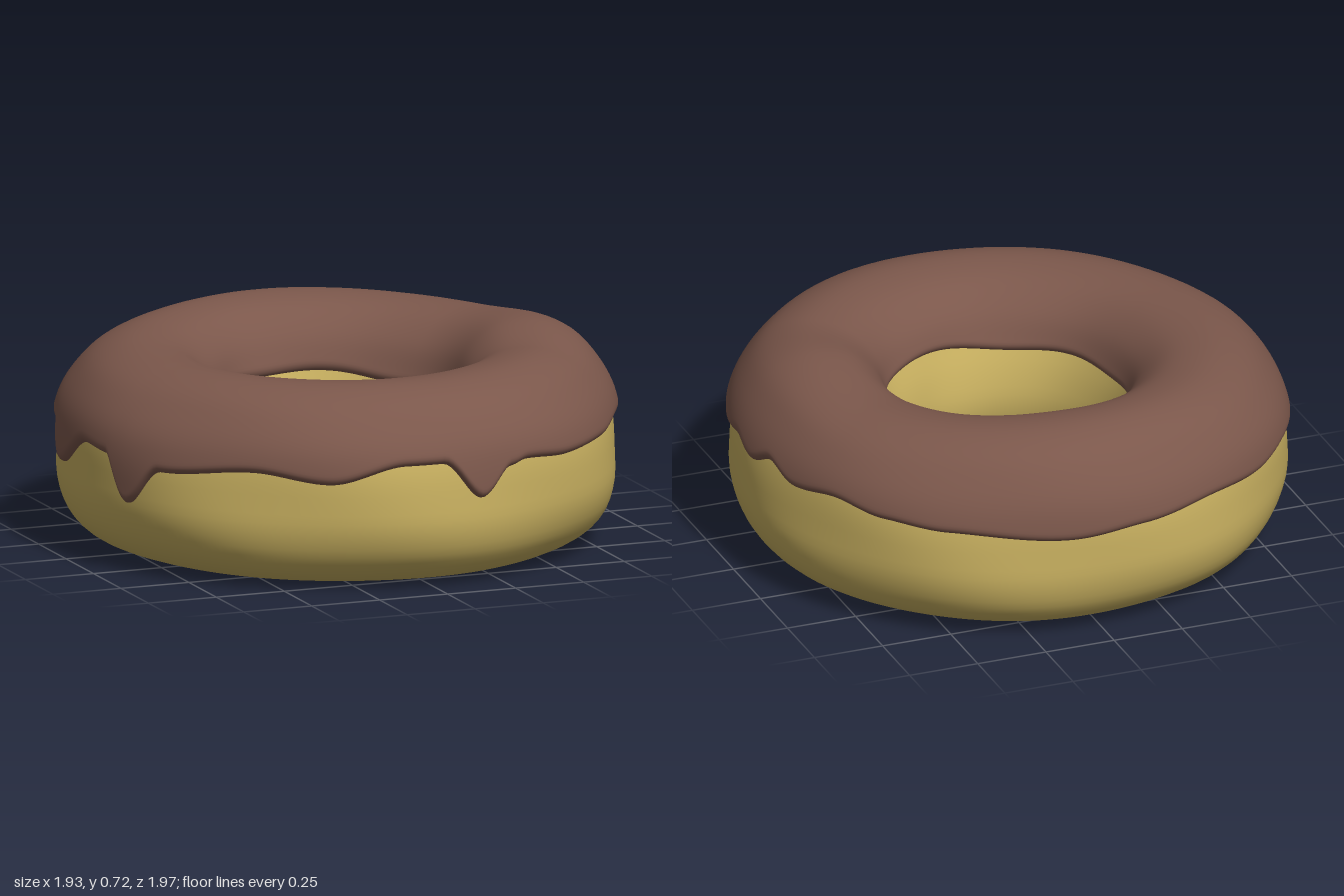
import * as THREE from 'three';

// Cross-section of the dough as (radius, height): bottom, outer side, top, inner side
const profile = new THREE.CatmullRomCurve3([
  [0.66, 0.008], [0.78, 0.02], [0.87, 0.06], [0.93, 0.125], [0.962, 0.22], [0.963, 0.32],
  [0.955, 0.42], [0.935, 0.5], [0.895, 0.57], [0.83, 0.64], [0.74, 0.68], [0.66, 0.685],
  [0.56, 0.66], [0.48, 0.59], [0.435, 0.49], [0.395, 0.38], [0.378, 0.28], [0.398, 0.17],
  [0.45, 0.08], [0.54, 0.025],
].map(([r, y]) => new THREE.Vector3(r, y, 0)), true);
const LENGTH = profile.getLength();

// [degrees from the front towards +x, height] of the icing's outer rim; the lows are drips
const RIM = [
  [0, 0.455], [8.5, 0.325], [16, 0.42], [20, 0.435], [32, 0.42], [48, 0.425], [62, 0.445],
  [75, 0.435], [84, 0.455], [92, 0.43], [99, 0.47], [108, 0.435], [120, 0.46], [132, 0.435],
  [146, 0.42], [172, 0.39], [188, 0.41], [205, 0.425], [222, 0.41], [236, 0.425], [252, 0.42],
  [260, 0.31], [273, 0.42], [282, 0.41], [289, 0.26], [298, 0.39], [320, 0.425], [336, 0.395],
  [352, 0.455],
];
// Height of the icing's crest round the ring
const CREST = [
  [0, 0.69], [55, 0.697], [83, 0.73], [118, 0.695], [180, 0.715], [235, 0.695], [300, 0.69],
];

// Smooth periodic lookup in a table of [degrees, value]
function lookup(table, theta) {
  const deg = THREE.MathUtils.radToDeg(theta) % 360;
  let i = table.length - 1;
  while (table[i][0] > deg) i--;
  const [d0, v0] = table[i];
  const [d1, v1] = i + 1 < table.length ? table[i + 1] : [360, table[0][1]];
  return THREE.MathUtils.lerp(v0, v1, THREE.MathUtils.smoothstep(deg, d0, d1));
}

// Position along the profile where one side reaches a height
function findHeight(y, low, high) {
  for (let i = 0; i < 20; i++) {
    const mid = (low + high) / 2;
    if (profile.getPointAt(mid).y < y) low = mid; else high = mid;
  }
  return low;
}

// Point on the ring, lifted off the dough by an offset
function ringPoint(u, theta, offset) {
  const p = profile.getPointAt(u), t = profile.getTangentAt(u);
  const lump = 0.004 * Math.sin(3 * theta + 1) + 0.004 * Math.sin(7 * theta + 9 * p.y);
  const side = (p.r = p.x) > 0.675 ? 1 : -1;
  const r = p.x + t.y * offset + side * lump * Math.min(1, Math.abs(p.x - 0.675) / 0.2);
  let y = p.y - t.x * offset;
  y += (lookup(CREST, theta) - 0.71) * THREE.MathUtils.smoothstep(y, 0.4, 0.7);
  const shift = 0.025 * (0.97 - r);
  return [r * Math.sin(theta) * 0.985, y, r * Math.cos(theta) * 1.008 - shift];
}

// Sweep cross-sections round the ring; section(theta) returns a function of j
function sweep(around, across, closed, section) {
  const positions = [], indices = [];
  const row = closed ? across : across + 1;
  for (let i = 0; i < around; i++) {
    const theta = (i / around) * Math.PI * 2, at = section(theta);
    for (let j = 0; j < row; j++) positions.push(...at(j / across));
    for (let j = 0; j < across; j++) {
      const a = i * row + j, b = ((i + 1) % around) * row + j;
      const step = closed && j === across - 1 ? 1 - across : 1;
      indices.push(a, b, a + step, b, b + step, a + step);
    }
  }
  const geometry = new THREE.BufferGeometry();
  geometry.setAttribute('position', new THREE.Float32BufferAttribute(positions, 3));
  geometry.setIndex(indices);
  geometry.computeVertexNormals();
  return geometry;
}

function addMesh(group, name, geometry, color) {
  const mesh = new THREE.Mesh(geometry, new THREE.MeshStandardMaterial({ color }));
  mesh.name = name;
  group.add(mesh);
}

export function createModel() {
  const group = new THREE.Group();
  group.name = 'doughnut';

  // Dough ring
  addMesh(group, 'dough', sweep(180, 64, true, (theta) => (v) => ringPoint(v, theta, 0)), 0xc8b060);

  // Icing: a layer over the top with rounded, dripping rims
  const thickness = 0.026;
  const icing = sweep(400, 48, false, (theta) => {
    const outer = findHeight(lookup(RIM, theta), 0.02, 0.48);
    const innerRim = 0.475 + 0.012 * Math.sin(2 * theta + 0.6) + 0.008 * Math.sin(5 * theta);
    const inner = 1 - findInner(innerRim);
    return (v) => {
      const f = (1 - Math.cos(Math.PI * v)) / 2;
      const u = THREE.MathUtils.lerp(outer, inner, f);
      const edge = Math.min(f, 1 - f) * (inner - outer) * LENGTH;
      const e = Math.max(0, 1 - edge / thickness);
      return ringPoint(u, theta, thickness * Math.sqrt(1 - e * e) - 0.004 * e);
    };
  });
  addMesh(group, 'icing', icing, 0x7b574b);
  return group;
}

// Same search on the inner side, measured back from the end of the profile
function findInner(y) {
  let low = 0.02, high = 0.45;
  for (let i = 0; i < 20; i++) {
    const mid = (low + high) / 2;
    if (profile.getPointAt(1 - mid).y < y) low = mid; else high = mid;
  }
  return low;
}
